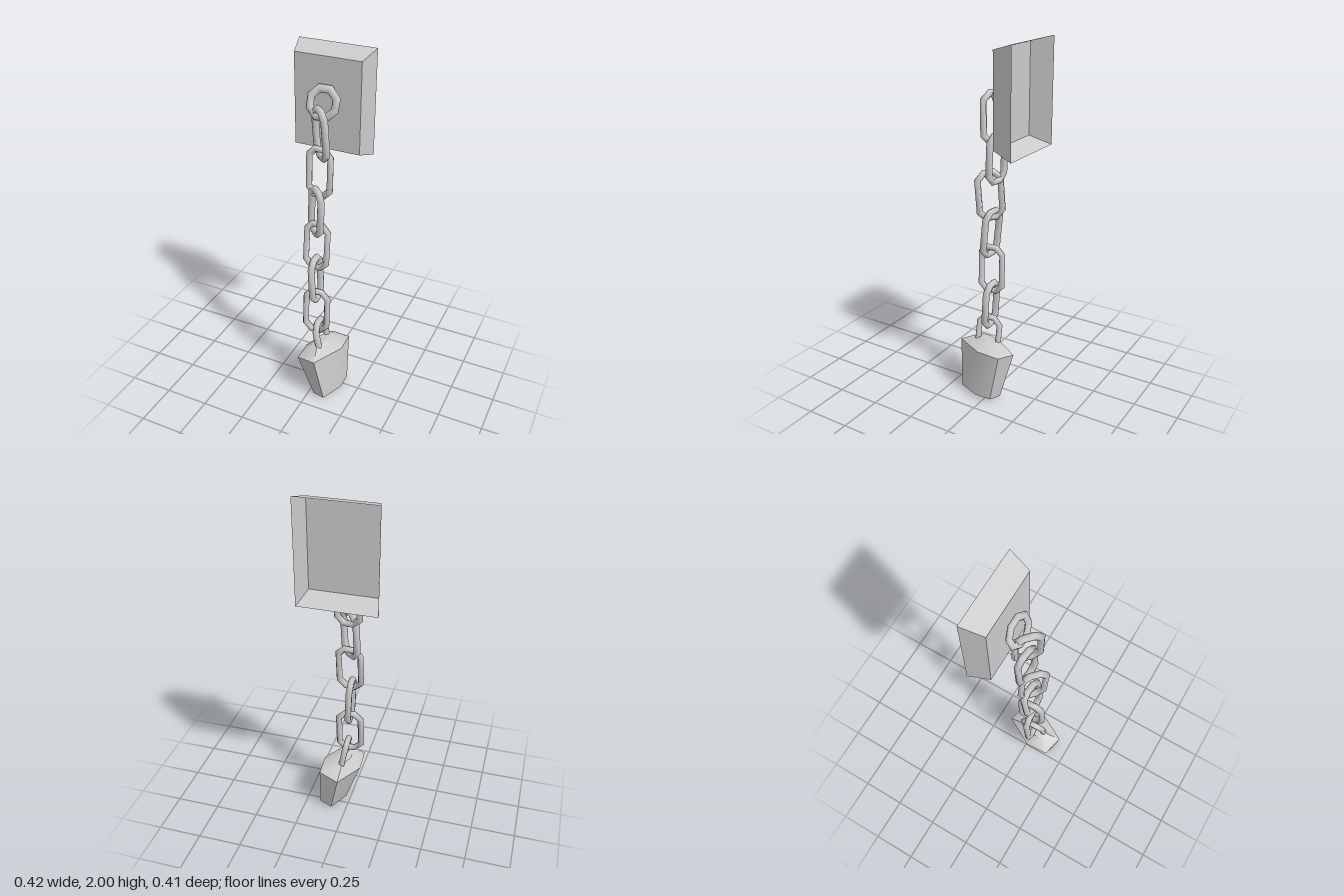
import * as THREE from 'three';
import { mergeVertices, toCreasedNormals } from 'three/addons/utils/BufferGeometryUtils.js';

const material = new THREE.MeshStandardMaterial({ color: 0xcccccc, side: THREE.DoubleSide });

// Eight-sided ring, optionally pulled apart along y into a long chain link
function linkGeometry(radius, tube, stretch) {
  let geo = new THREE.TorusGeometry(radius, tube, 6, 8);
  geo.rotateZ(Math.PI / 8);
  const p = geo.attributes.position;
  for (let i = 0; i < p.count; i++) p.setY(i, p.getY(i) + Math.sign(p.getY(i)) * stretch);
  geo.deleteAttribute('uv');
  geo.deleteAttribute('normal');
  geo = mergeVertices(geo, 1e-5);
  geo.computeVertexNormals();
  return geo;
}

// Skin stacked loops of points (bottom to top), with optional end caps
function loft(loops, capStart, capEnd) {
  const n = loops[0].length;
  const index = [];
  for (let k = 0; k < loops.length - 1; k++) {
    for (let i = 0; i < n; i++) {
      const a = k * n + i, b = k * n + (i + 1) % n;
      index.push(a, b, b + n, a, b + n, a + n);
    }
  }
  const last = (loops.length - 1) * n;
  for (let i = 1; i < n - 1; i++) {
    if (capStart) index.push(0, i + 1, i);
    if (capEnd) index.push(last, last + i, last + i + 1);
  }
  const geo = new THREE.BufferGeometry();
  geo.setAttribute('position', new THREE.Float32BufferAttribute(loops.flat(2), 3));
  geo.setIndex(index);
  return geo;
}

function addMesh(group, geometry, name) {
  const mesh = new THREE.Mesh(geometry, material);
  mesh.name = name;
  group.add(mesh);
  return mesh;
}

export function createModel() {
  const model = new THREE.Group();
  model.name = 'chainWithWeight';

  // Wall plate: bevelled, open at the back
  const rect = (w, y0, y1, z) => [[-w, y0, z], [w, y0, z], [w, y1, z], [-w, y1, z]];
  const plate = loft([rect(0.21, 1.44, 2, -0.205), rect(0.18, 1.48, 1.965, -0.086)], false, true);
  addMesh(model, toCreasedNormals(plate, 0.3), 'wallPlate');

  // Ring leaning back against the plate
  const ring = addMesh(model, linkGeometry(0.074, 0.022, 0), 'wallRing');
  ring.position.set(0, 1.747, -0.037);
  ring.rotation.x = -0.35;
  ring.scale.z = 0.65;

  // Chain links: top point, bottom point, turn about the vertical
  const links = [
    [[0.0, 1.745, 0.012], [0.015, 1.455, 0.0], -0.75],
    [[0.0, 1.53, -0.005], [0.0, 1.24, 0.008], -0.12],
    [[0.008, 1.32, 0.05], [-0.008, 1.03, 0.038], -0.75],
    [[0.0, 1.105, 0.022], [0.0, 0.82, 0.052], -0.08],
    [[-0.01, 0.89, 0.038], [0.002, 0.603, 0.038], -1.5],
    [[0.0, 0.672, 0.032], [0.0, 0.388, 0.052], 0.06],
    [[0.01, 0.47, 0.038], [0.062, 0.19, 0.038], -1.5],
  ];
  const linkGeo = linkGeometry(0.068, 0.019, 0.064);
  const chain = new THREE.Group();
  chain.name = 'chain';
  links.forEach(([t, b, yaw], i) => {
    const top = new THREE.Vector3(...t), bottom = new THREE.Vector3(...b);
    const up = top.clone().sub(bottom).normalize();
    const side = new THREE.Vector3(Math.cos(yaw), 0, -Math.sin(yaw));
    const face = side.clone().cross(up).normalize();
    side.crossVectors(up, face);
    const link = addMesh(chain, linkGeo, 'chainLink' + (i + 1));
    link.quaternion.setFromRotationMatrix(new THREE.Matrix4().makeBasis(side, up, face));
    link.position.copy(top).add(bottom).multiplyScalar(0.5);
  });
  model.add(chain);

  // Weight: tilted, tapered hexagonal block with a sloping shoulder
  const hexagon = [[-0.1, 0.135], [0.015, 0.165], [0.107, -0.005], [0.1, -0.135], [-0.015, -0.165], [-0.107, 0.005]];
  const section = (cx, cy, cz, sx, sz, tilt, pitch) =>
    hexagon.map(([x, z]) => [cx + x * sx, cy + x * sx * tilt + z * sz * pitch, cz + z * sz]);
  const weight = loft([
    section(0.096, 0.015, 0.052, 0.63, 0.74, 0.16, 0.01),
    section(0.045, 0.28, 0.04, 1, 1, 0.19, 0.05),
    section(0.034, 0.33, 0.041, 0.36, 0.48, 0.1, 0.02),
  ], true, true);
  addMesh(model, toCreasedNormals(weight, 0.75), 'weight');

  return model;
}
